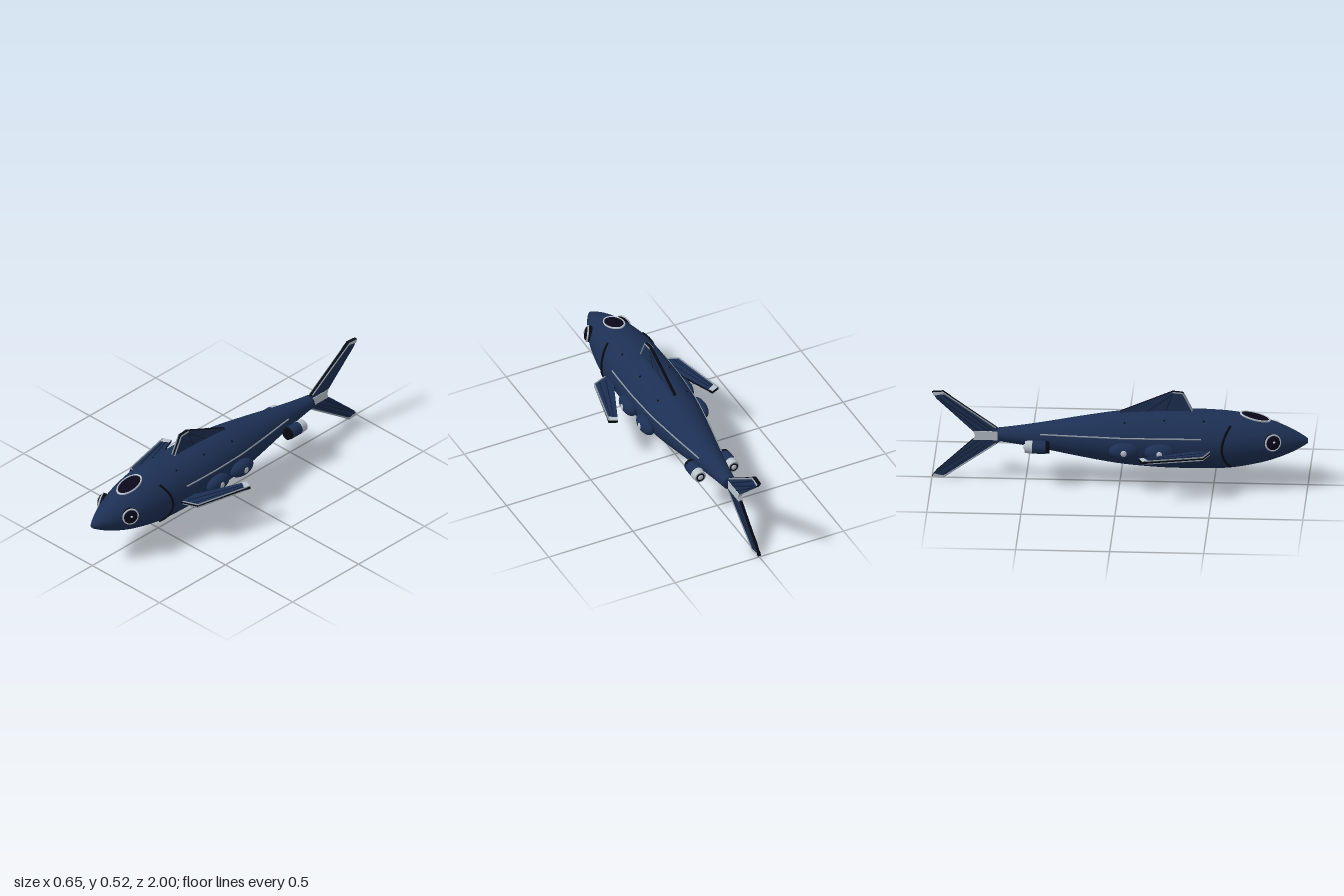
import * as THREE from 'three';

const paint = (name, color) => {
  const m = new THREE.MeshStandardMaterial({ color });
  m.name = name;
  return m;
};
const V = (x, y, z) => new THREE.Vector3(x, y, z);

const AXIS_Y = 0.2525; // height of the hull axis
const WIDE = 1.03; // hull is slightly wider than tall
const PROFILE = [ // z, radius
  [-0.65, 0.036], [-0.55, 0.049], [-0.4, 0.073], [-0.2, 0.109], [0, 0.14], [0.2, 0.155], [0.35, 0.158],
  [0.5, 0.156], [0.6, 0.149], [0.7, 0.132], [0.8, 0.107], [0.9, 0.069], [0.97, 0.032], [1, 0.012],
];

// hull radius at a given z
function hullRadius(z) {
  for (let i = 1; i < PROFILE.length; i++) {
    const [z0, r0] = PROFILE[i - 1], [z1, r1] = PROFILE[i];
    if (z <= z1) return r0 + (r1 - r0) * (z - z0) / (z1 - z0);
  }
  return 0.012;
}

export function createModel() {
  const model = new THREE.Group();
  model.name = 'fishSubmarine';
  const navy = paint('navy hull', 0x1d3054);
  const shade = paint('deep navy ribs', 0x131e38);
  const dark = paint('dark trim', 0x080a12);
  const glass = paint('dark glass', 0x0a081a);
  const grey = paint('light grey metal', 0xb8c2ca);
  const steel = paint('steel trim', 0x8e9aa4);

  const add = (parent, name, geometry, material) => {
    const mesh = new THREE.Mesh(geometry, material);
    mesh.name = name;
    parent.add(mesh);
    return mesh;
  };
  const tube = (parent, name, points, r, material, n = 40) =>
    add(parent, name, new THREE.TubeGeometry(new THREE.CatmullRomCurve3(points), n, r, 6), material);
  const rod = (parent, name, a, b, r, material) => {
    const mesh = add(parent, name, new THREE.CylinderGeometry(r, r, a.distanceTo(b), 6), material);
    mesh.position.copy(a).add(b).multiplyScalar(0.5);
    mesh.quaternion.setFromUnitVectors(V(0, 1, 0), b.clone().sub(a).normalize());
    return mesh;
  };

  // hull
  const curve = new THREE.SplineCurve(PROFILE.map(([z, r]) => new THREE.Vector2(r, z)));
  const outline = [new THREE.Vector2(0, -0.65), ...curve.getPoints(60), new THREE.Vector2(0, 1)];
  const hull = add(model, 'hull', new THREE.LatheGeometry(outline, 56).rotateX(Math.PI / 2), navy);
  hull.position.y = AXIS_Y;
  hull.scale.x = WIDE;

  // flat plate with its own edge colour, centred on its own plane
  const plate = (parent, name, pts, half, face, edge) => {
    const shape = new THREE.Shape(pts.map(p => new THREE.Vector2(...p)));
    const geo = new THREE.ExtrudeGeometry(shape, { depth: half * 2, bevelEnabled: false });
    return add(parent, name, geo.translate(0, 0, -half), [face, edge]);
  };
  // fin: navy plate, steel edge trim, grey tip and low ribs on both faces
  const fin = (name, pts, half, { trim, tip, ribs }) => {
    const group = new THREE.Group();
    group.name = name;
    plate(group, 'finPlate', pts, half, navy, dark);
    if (tip) plate(group, 'finTip', tip, half + 0.002, grey, dark);
    for (const s of [1, -1]) {
      const t = s * (half + 0.0015);
      for (let i = 1; i < trim.length; i++)
        rod(group, 'edgeTrim', V(...trim[i - 1], t), V(...trim[i], t), 0.004, steel);
      for (const [a, b] of ribs) rod(group, 'finRib', V(...a, s * half), V(...b, s * half), 0.003, shade);
    }
    model.add(group);
    return group;
  };

  // dorsal fin, drawn as (z, y)
  fin('dorsalFin', [[0.39, 0.39], [0.335, 0.515], [0.28, 0.52], [0, 0.4], [0, 0.37], [0.39, 0.37]], 0.0085, {
    trim: [[0.385, 0.41], [0.335, 0.511], [0.28, 0.515]],
    ribs: [[[0.28, 0.505], [0.24, 0.4]], [[0.28, 0.505], [0.14, 0.4]]],
  }).rotation.y = -Math.PI / 2;

  // tail lobes, mirrored about the height of the tail root
  for (const s of [1, -1]) {
    const m = pts => pts.map(([z, y]) => [z, 0.247 + s * y]);
    fin(s > 0 ? 'upperTailLobe' : 'lowerTailLobe',
      m([[-0.64, 0.034], [-0.94, 0.245], [-1, 0.242], [-0.975, 0.205], [-0.78, 0.022], [-0.64, 0]]), 0.0085, {
        tip: m([[-0.9, 0.219], [-0.94, 0.247], [-1, 0.242], [-0.988, 0.222], [-0.945, 0.232]]),
        ribs: [m([[-0.68, 0.03], [-0.94, 0.225]]), m([[-0.7, 0.025], [-0.965, 0.21]]),
          m([[-0.74, 0.02], [-0.96, 0.195]])],
        trim: m([[-0.66, 0.045], [-0.94, 0.24]]),
      }).rotation.y = -Math.PI / 2;
  }
  // tail root bracket
  plate(model, 'tailRoot', [[-0.64, 0.272], [-0.78, 0.272], [-0.77, 0.247], [-0.78, 0.222], [-0.64, 0.222]],
    0.012, grey, grey).rotation.y = -Math.PI / 2;

  // top window with rim
  const topWindow = new THREE.Group();
  topWindow.name = 'topWindow';
  topWindow.position.set(0, 0.384, 0.72);
  topWindow.rotation.x = 0.245;
  add(topWindow, 'windowGlass', new THREE.SphereGeometry(1, 32, 16).scale(0.047, 0.006, 0.08), glass);
  add(topWindow, 'windowRim',
    new THREE.TorusGeometry(1, 0.08, 8, 48).rotateX(Math.PI / 2).scale(0.049, 0.07, 0.079), grey);
  model.add(topWindow);

  for (const s of [1, -1]) {
    const side = s > 0 ? 'left' : 'right';

    // pectoral fin, drawn as (x, z)
    const m = pts => pts.map(([x, z]) => [s * x, z]);
    const pectoral = fin(side + 'PectoralFin',
      m([[0.13, 0.49], [0.17, 0.488], [0.25, 0.455], [0.325, 0.135], [0.28, 0.115], [0.17, 0.38], [0.13, 0.4]]),
      0.006, {
        trim: m([[0.17, 0.486], [0.25, 0.453], [0.322, 0.137]]),
        tip: m([[0.317, 0.17], [0.327, 0.135], [0.28, 0.114], [0.27, 0.14]]),
        ribs: [m([[0.18, 0.46], [0.285, 0.16]]), m([[0.22, 0.455], [0.3, 0.165]])],
      });
    pectoral.rotation.x = Math.PI / 2;
    pectoral.position.y = 0.236;

    // eye porthole
    const eye = new THREE.Group();
    eye.name = side + 'Eye';
    eye.position.set(s * 0.109, 0.279, 0.82);
    eye.quaternion.setFromUnitVectors(V(0, 0, 1), V(s * 0.88, 0.14, 0.42).normalize());
    add(eye, 'eyeSocket', new THREE.CylinderGeometry(0.043, 0.043, 0.03, 32).rotateX(Math.PI / 2), dark)
      .position.z = -0.012;
    add(eye, 'eyeRim', new THREE.TorusGeometry(0.0415, 0.005, 8, 40), grey);
    add(eye, 'eyeLens', new THREE.SphereGeometry(1, 28, 16).scale(0.039, 0.039, 0.018), glass);
    add(eye, 'eyeGlint', new THREE.SphereGeometry(0.0065, 12, 8), grey).position.set(0, 0.006, 0.018);
    model.add(eye);

    // gill arc, swept back at mid height
    const gill = [];
    for (let i = 0; i <= 12; i++) {
      const a = (i / 6 - 1) * 0.87;
      const z = 0.55 + 0.075 * Math.sin(a) ** 2;
      const r = hullRadius(z) + 0.003;
      gill.push(V(s * r * WIDE * Math.cos(a), AXIS_Y + r * Math.sin(a), z));
    }
    tube(model, side + 'Gill', gill, 0.0065, dark);

    // lateral line
    const line = [];
    for (let i = 0; i <= 20; i++) {
      const z = 0.44 - 0.86 * i / 20, dy = 0.055 - 0.026 * (i / 20) ** 1.5;
      line.push(V(s * (WIDE * Math.sqrt(hullRadius(z) ** 2 - dy * dy) + 0.001), AXIS_Y + dy, z));
    }
    tube(model, side + 'LateralLine', line, 0.0045, steel, 60);

    // side pods with lamps
    for (const [z, x] of [[0.22, 0.168], [0.03, 0.16]]) {
      const pod = add(model, side + 'Pod', new THREE.SphereGeometry(1, 32, 20).scale(0.038, 0.046, 0.08), navy);
      pod.position.set(s * x, 0.234, z);
      add(model, side + 'PodLamp', new THREE.SphereGeometry(1, 16, 12).scale(0.007, 0.018, 0.018), grey)
        .position.set(s * (x + 0.034), 0.234, z);
    }

    // rear thruster
    const thruster = new THREE.Group();
    thruster.name = side + 'Thruster';
    thruster.position.set(s * 0.099, 0.223, 0);
    const drum = (name, r0, r1, z0, z1, mat) =>
      add(thruster, name, new THREE.CylinderGeometry(r1, r0, z1 - z0, 28).rotateX(Math.PI / 2), mat)
        .position.z = (z0 + z1) / 2;
    drum('intake', 0.035, 0.031, -0.395, -0.37, dark);
    drum('casing', 0.035, 0.035, -0.465, -0.39, navy);
    drum('nozzle', 0.032, 0.036, -0.5, -0.46, grey);
    drum('exhaust', 0.024, 0.024, -0.502, -0.49, dark);
    add(thruster, 'exhaustCone', new THREE.SphereGeometry(0.017, 16, 12).scale(1, 1, 0.7), grey).position.z = -0.498;
    rod(thruster, 'strut', V(-s * 0.06, 0.01, -0.42), V(0, 0, -0.42), 0.012, navy);
    model.add(thruster);

    // rivets along the back, nearly flush
    for (const z of [0.45, 0.24, 0.03]) {
      const r = hullRadius(z);
      add(model, side + 'Rivet', new THREE.SphereGeometry(0.007, 10, 8), dark)
        .position.set(s * 0.085, AXIS_Y + Math.sqrt(r * r - 0.0825 ** 2) - 0.003, z);
    }
  }
  return model;
}
